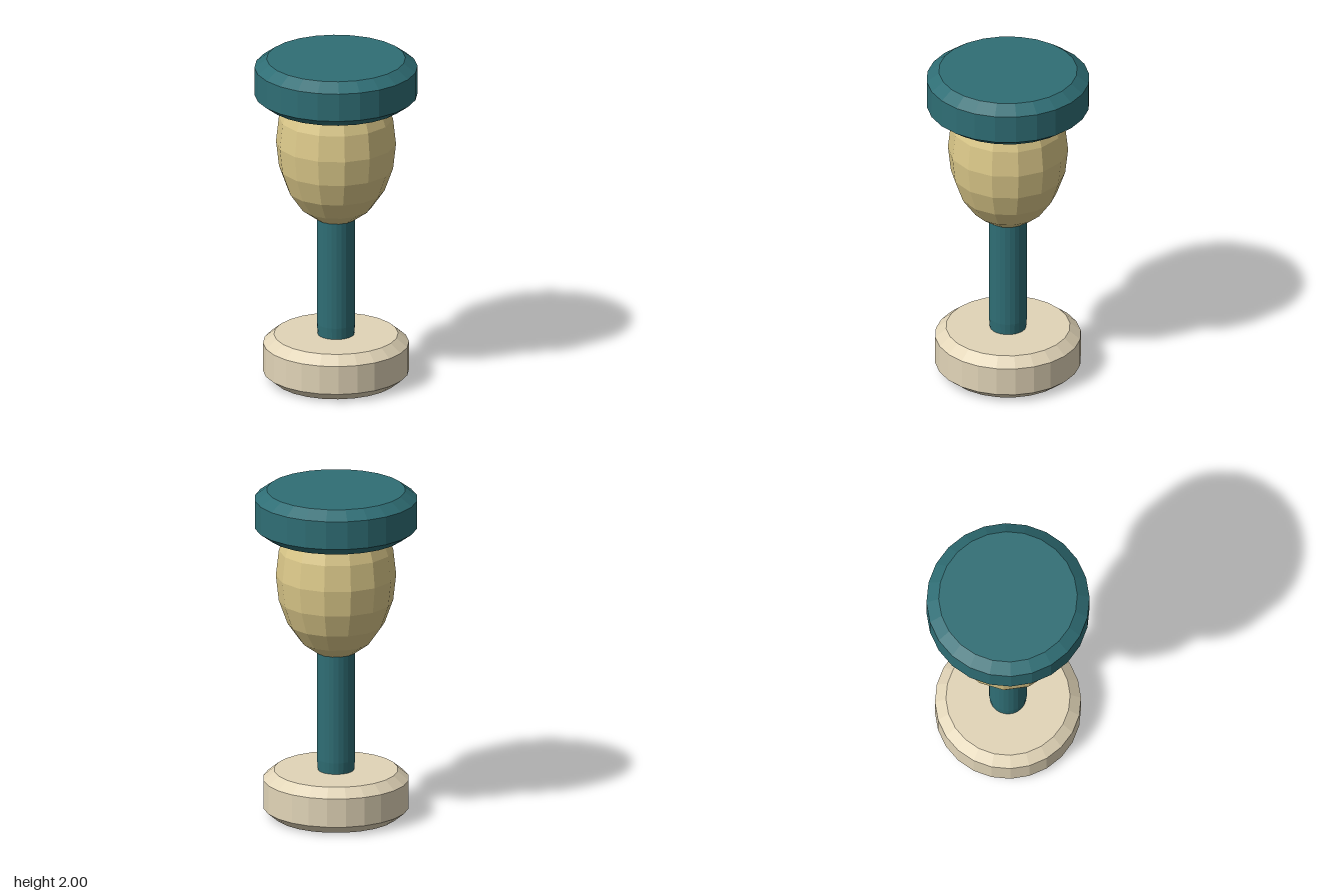
import * as THREE from 'three';

const TEAL = 0x2f6e75, GOLD = 0xdcc98a, CREAM = 0xe2d5b8;

function part(name, geometry, color) {
  const material = new THREE.MeshStandardMaterial({ color, flatShading: true });
  const mesh = new THREE.Mesh(geometry, material);
  mesh.name = name;
  return mesh;
}

// 24-sided solid disc or post whose two rims are chamfered in proportion to its size
function chamferedCylinder(radius, bottom, top) {
  const inner = radius * 0.85;
  const chamfer = (top - bottom) * 0.19;
  const profile = [
    [0, bottom], [inner, bottom], [radius, bottom + chamfer],
    [radius, top - chamfer], [inner, top], [0, top],
  ].map(([r, y]) => new THREE.Vector2(r, y));
  return new THREE.LatheGeometry(profile, 24);
}

export function createModel() {
  const model = new THREE.Group();
  model.name = 'pedestal';

  // Round foot
  model.add(part('base', chamferedCylinder(0.43, 0, 0.28), CREAM));

  // Post, sunk into the foot and the bulb
  model.add(part('stem', chamferedCylinder(0.113, 0.14, 1.24), TEAL));

  // Faceted egg-shaped bulb, its crown hidden in the top disc
  const bulb = part('bulb', new THREE.SphereGeometry(0.354, 14, 10), GOLD);
  bulb.scale.y = 0.5 / 0.354;
  bulb.position.y = 1.475;
  model.add(bulb);

  // Wide top disc
  model.add(part('topDisc', chamferedCylinder(0.48, 1.725, 2), TEAL));

  return model;
}
